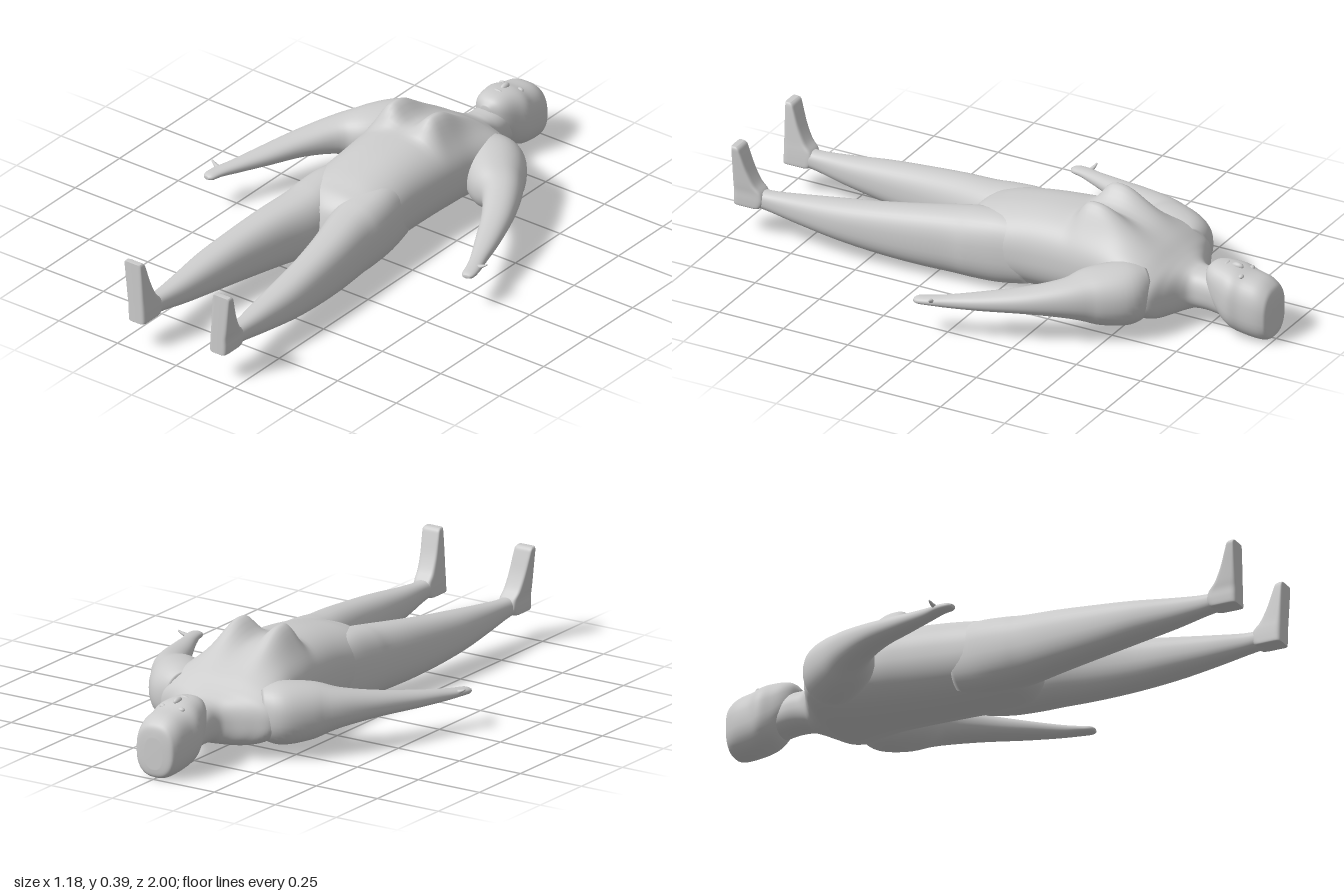
import * as THREE from 'three';

const material = new THREE.MeshStandardMaterial({ color: 0xcccccc });
const UP = new THREE.Vector3(0, 1, 0);

// Smooth interpolation through the key rows
function refine(keys, steps) {
  const rows = [];
  const at = (i) => keys[Math.max(0, Math.min(keys.length - 1, i))];
  for (let i = 0; i < keys.length - 1; i++) {
    for (let s = 0; s < steps; s++) {
      const t = s / steps;
      rows.push(keys[i].map((p1, c) => {
        const p0 = at(i - 1)[c], p2 = at(i + 1)[c], p3 = at(i + 2)[c];
        return p1 + 0.5 * t * (p2 - p0 + t * (2 * p0 - 5 * p1 + 4 * p2 - p3 + t * (3 * (p1 - p2) + p3 - p0)));
      }));
    }
  }
  rows.push(keys[keys.length - 1]);
  return rows;
}

// Skin over rounded sections; each key is [x, y, z, halfU, halfV].
// axis 'z' and 'y' keep sections level, 'path' turns them along the centre line.
function loft(name, keys, { axis = 'z', power = 2.2, sides = 40, steps = 5, shape } = {}) {
  const rows = refine(keys, steps);
  const points = rows.map((r) => new THREE.Vector3(r[0], r[1], r[2]));
  const pos = [], idx = [];
  const soft = (c) => Math.sign(c) * Math.abs(c) ** (2 / power);
  rows.forEach((r, i) => {
    const u = new THREE.Vector3(1, 0, 0), v = UP.clone();
    if (axis === 'y') { u.set(0, 0, 1); v.set(1, 0, 0); }
    if (axis === 'path') {
      const d = points[Math.min(i + 1, rows.length - 1)].clone().sub(points[Math.max(i - 1, 0)]);
      d.y = 0;
      u.crossVectors(UP, d).normalize();
    }
    for (let j = 0; j < sides; j++) {
      const a = (j / sides) * Math.PI * 2;
      const p = points[i].clone()
        .addScaledVector(u, r[3] * soft(Math.cos(a)))
        .addScaledVector(v, r[4] * soft(Math.sin(a)));
      if (shape) shape(p);
      pos.push(p.x, p.y, p.z);
    }
  });
  for (let i = 0; i < rows.length - 1; i++) {
    for (let j = 0; j < sides; j++) {
      const k = (j + 1) % sides;
      const a = i * sides + j, b = i * sides + k, c = a + sides, d = b + sides;
      idx.push(a, b, d, a, d, c);
    }
  }
  // end caps
  const first = pos.length / 3, last = first + 1, end = (rows.length - 1) * sides;
  pos.push(...points[0].toArray(), ...points[points.length - 1].toArray());
  for (let j = 0; j < sides; j++) {
    const k = (j + 1) % sides;
    idx.push(first, k, j, last, end + j, end + k);
  }
  const geometry = new THREE.BufferGeometry();
  geometry.setAttribute('position', new THREE.Float32BufferAttribute(pos, 3));
  geometry.setIndex(idx);
  geometry.computeVertexNormals();
  const mesh = new THREE.Mesh(geometry, material);
  mesh.name = name;
  return mesh;
}

// Row from z, half width, bottom and top heights
const span = (z, w, lo, hi, x = 0) => [x, (lo + hi) / 2, z, w, (hi - lo) / 2];

// Chest swell on the upper side of the torso, steep towards the belly
function chest(p) {
  if (p.y < 0.15) return;
  const dx = (Math.abs(p.x) - 0.085) / 0.052;
  const dz = p.z + 0.35;
  const fall = dz > 0 ? Math.exp(-((dz / 0.07) ** 4)) : Math.exp(-((dz / 0.12) ** 2));
  p.y += 0.072 * Math.exp(-dx * dx) * fall * Math.min(1, (p.y - 0.15) / 0.1);
}

function ball(name, r, x, y, z, sx = 1, sy = 1, sz = 1) {
  const mesh = new THREE.Mesh(new THREE.SphereGeometry(r, 16, 12), material);
  mesh.name = name;
  mesh.position.set(x, y, z);
  mesh.scale.set(sx, sy, sz);
  return mesh;
}

export function createModel() {
  const model = new THREE.Group();
  model.name = 'recliningFigure';

  // Neck, shoulders, trunk and crotch
  model.add(loft('torso', [
    span(-0.84, 0.068, 0.05, 0.17), span(-0.77, 0.071, 0.062, 0.2),
    span(-0.71, 0.072, 0.06, 0.204), span(-0.68, 0.1, 0.052, 0.208),
    span(-0.65, 0.165, 0.043, 0.222), span(-0.62, 0.225, 0.036, 0.24),
    span(-0.57, 0.245, 0.032, 0.272), span(-0.5, 0.225, 0.03, 0.305),
    span(-0.42, 0.205, 0.03, 0.325), span(-0.34, 0.197, 0.028, 0.333),
    span(-0.25, 0.188, 0.025, 0.332), span(-0.12, 0.18, 0.021, 0.322),
    span(0, 0.182, 0.019, 0.302), span(0.07, 0.18, 0.021, 0.283),
    span(0.12, 0.14, 0.03, 0.265), span(0.16, 0.07, 0.06, 0.225), span(0.18, 0.01, 0.11, 0.16),
  ], { power: 2.4, sides: 88, steps: 6, shape: chest }));

  // Head from crown to chin
  const head = new THREE.Group();
  head.name = 'head';
  head.add(loft('skull', [
    span(-1, 0.035, 0.04, 0.15), span(-0.995, 0.068, 0.016, 0.185),
    span(-0.98, 0.08, 0.006, 0.205), span(-0.95, 0.088, 0.005, 0.222),
    span(-0.9, 0.092, 0.011, 0.233), span(-0.86, 0.098, 0.024, 0.245),
    span(-0.82, 0.086, 0.048, 0.25), span(-0.78, 0.07, 0.1, 0.248),
    span(-0.755, 0.05, 0.14, 0.238), span(-0.738, 0.018, 0.18, 0.218),
  ], { power: 2.5 }));
  head.add(ball('nose', 0.014, 0, 0.245, -0.85, 0.8, 0.9, 1.6));
  head.add(ball('mouth', 0.016, 0, 0.246, -0.81, 1.2, 0.4, 0.45));
  for (const s of [1, -1]) head.add(ball('eye', 0.012, s * 0.038, 0.229, -0.885, 1.1, 0.7, 0.8));
  model.add(head);

  for (const s of [1, -1]) {
    const side = s > 0 ? 'left' : 'right';

    // Leg from hip to ankle
    model.add(loft(side + 'Leg', [
      span(-0.1, 0.075, 0.04, 0.27, s * 0.095), span(0, 0.09, 0.024, 0.28, s * 0.098),
      span(0.1, 0.098, 0.021, 0.272, s * 0.1), span(0.17, 0.095, 0.023, 0.262, s * 0.105),
      span(0.3, 0.083, 0.031, 0.246, s * 0.13), span(0.45, 0.072, 0.044, 0.226, s * 0.15),
      span(0.6, 0.063, 0.062, 0.207, s * 0.162), span(0.75, 0.047, 0.083, 0.187, s * 0.166),
      span(0.86, 0.034, 0.102, 0.175, s * 0.17), span(0.93, 0.033, 0.113, 0.175, s * 0.172),
    ], { power: 2.4 }));

    // Upright foot, heel to toes: [height, instep z, centre x, half width]
    const foot = [
      [0.112, 0.915, 0.173, 0.03], [0.116, 0.898, 0.173, 0.036], [0.14, 0.887, 0.174, 0.037],
      [0.17, 0.893, 0.175, 0.036], [0.2, 0.918, 0.178, 0.036], [0.25, 0.942, 0.182, 0.036],
      [0.31, 0.962, 0.187, 0.036], [0.332, 0.97, 0.189, 0.035], [0.34, 0.98, 0.189, 0.03],
    ].map(([y, z, x, w]) => [s * x, y, (z + 1) / 2, (1 - z) / 2, w]);
    model.add(loft(side + 'Foot', foot, { axis: 'y', power: 6 }));

    // Arm from shoulder to fingertips
    const arm = [
      [0.15, 0.155, -0.57, 0.07, 0.09], [0.2, 0.152, -0.525, 0.108, 0.108],
      [0.275, 0.153, -0.44, 0.1, 0.097], [0.345, 0.158, -0.375, 0.07, 0.068],
      [0.415, 0.153, -0.26, 0.055, 0.045], [0.475, 0.142, -0.125, 0.042, 0.031],
      [0.52, 0.135, -0.015, 0.029, 0.021], [0.543, 0.134, 0.045, 0.026, 0.015],
      [0.552, 0.132, 0.085, 0.023, 0.012], [0.555, 0.131, 0.1, 0.012, 0.006],
    ].map(([x, ...rest]) => [s * x, ...rest]);
    model.add(loft(side + 'Arm', arm, { axis: 'path' }));

    // Thumb
    model.add(loft(side + 'Thumb', [
      [s * 0.535, 0.135, 0.04, 0.012, 0.01], [s * 0.565, 0.143, 0.03, 0.008, 0.007],
      [s * 0.587, 0.154, 0.025, 0.003, 0.003],
    ], { axis: 'path', sides: 12 }));
  }
  return model;
}
